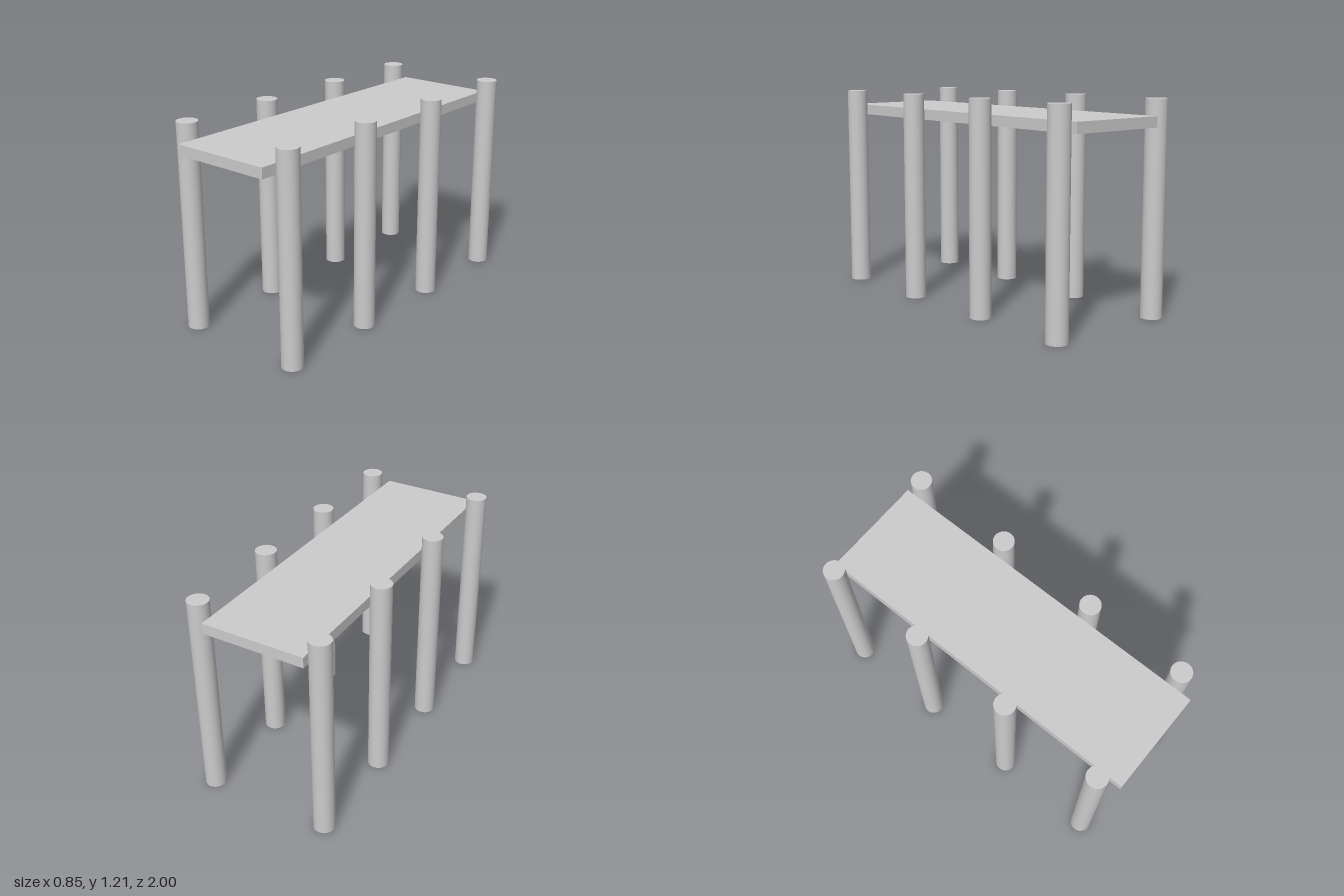
import * as THREE from 'three';

// One module unit: the pier is 33 units long
const U = 2 / 33;

export function createModel() {
  const group = new THREE.Group();
  const material = new THREE.MeshStandardMaterial({ color: 0xcccccc });

  // Flat walkway slab
  const deck = new THREE.Mesh(new THREE.BoxGeometry(10 * U, U, 33 * U), material);
  deck.name = 'deck';
  deck.position.y = 18 * U;
  group.add(deck);

  // Four pairs of round posts along the deck's long edges
  const postGeometry = new THREE.CylinderGeometry(U, U, 20 * U, 48);
  for (const [side, x] of [['left', 6 * U], ['right', -6 * U]]) {
    for (let i = 0; i < 4; i++) {
      const post = new THREE.Mesh(postGeometry, material);
      post.name = `${side}Post${i + 1}`;
      post.position.set(x, 10 * U, (14.5 - 10 * i) * U);
      group.add(post);
    }
  }
  return group;
}
